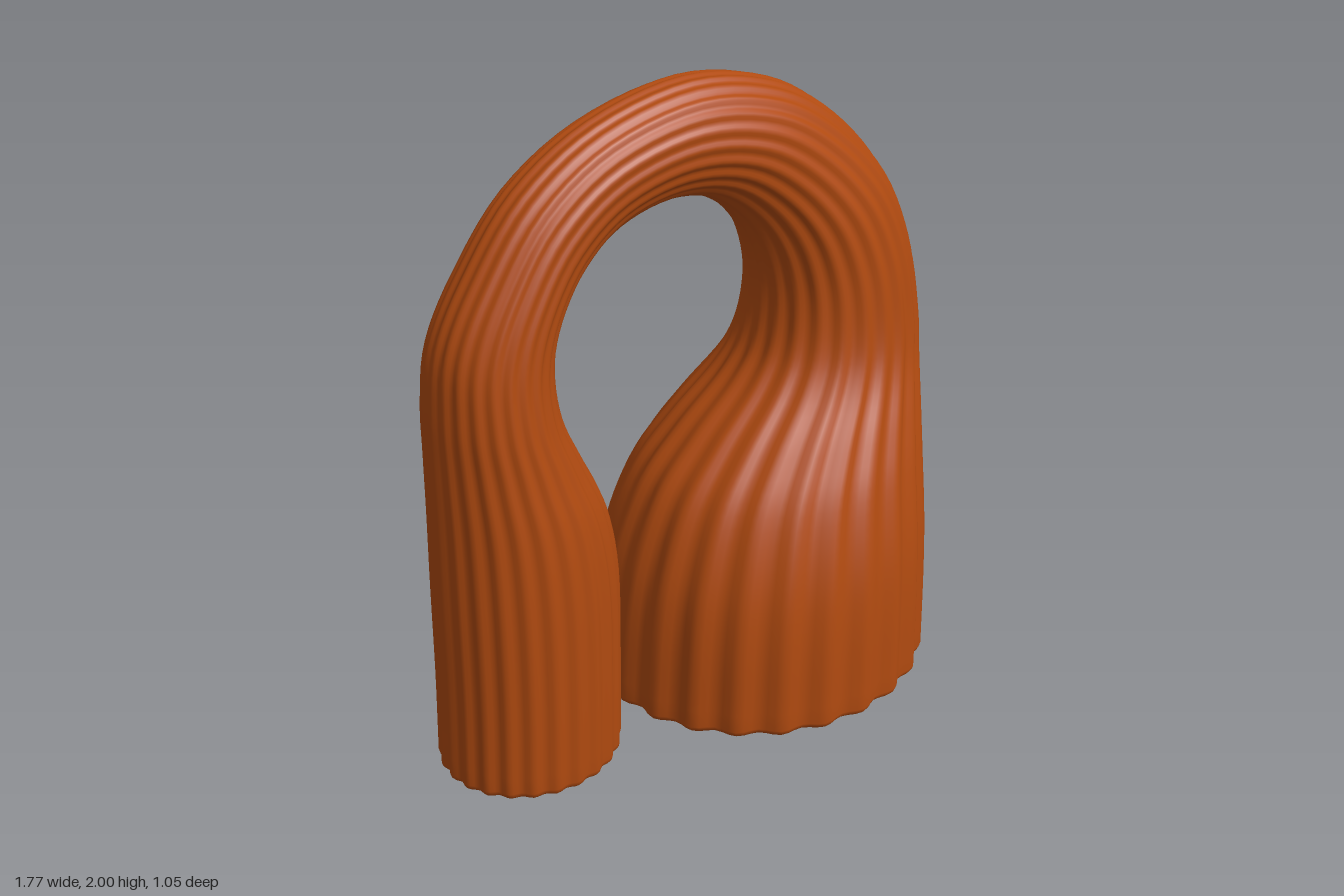
import * as THREE from 'three';

// Stations along the arch: outer x, outer y, inner x, inner y, half depth
const STATIONS = [
  [-0.885, 0.02, -0.315, 0.02, 0.265],
  [-0.877, 0.3, -0.31, 0.3, 0.265],
  [-0.875, 0.6, -0.31, 0.6, 0.26],
  [-0.872, 0.85, -0.345, 0.81, 0.245],
  [-0.872, 1.05, -0.42, 0.98, 0.22],
  [-0.87, 1.22, -0.485, 1.13, 0.2],
  [-0.845, 1.4, -0.5, 1.28, 0.18],
  [-0.75, 1.58, -0.47, 1.41, 0.165],
  [-0.58, 1.79, -0.39, 1.53, 0.15],
  [-0.33, 1.935, -0.27, 1.62, 0.142],
  [0, 2.0, -0.11, 1.66, 0.15],
  [0.3, 1.945, 0.05, 1.64, 0.168],
  [0.53, 1.81, 0.18, 1.55, 0.19],
  [0.72, 1.61, 0.26, 1.43, 0.222],
  [0.83, 1.38, 0.295, 1.28, 0.247],
  [0.875, 1.15, 0.275, 1.12, 0.272],
  [0.88, 1.0, 0.2, 1.0, 0.305],
  [0.878, 0.85, 0.035, 0.85, 0.37],
  [0.874, 0.7, -0.1, 0.7, 0.43],
  [0.872, 0.5, -0.19, 0.5, 0.485],
  [0.872, 0.3, -0.232, 0.3, 0.512],
  [0.875, 0.02, -0.255, 0.02, 0.525],
];
const FLUTES = 24, SIDES = FLUTES * 6, STEPS = 5 * (STATIONS.length - 1);

// One fluted elliptical ring between an outer and an inner point
function ring(outer, inner, depth, scale = 1, drop = 0) {
  const center = outer.clone().add(inner).multiplyScalar(0.5);
  const half = outer.clone().sub(center);
  const points = [];
  for (let j = 0; j < SIDES; j++) {
    const a = (j / SIDES) * Math.PI * 2;
    const s = scale * (1 - 0.02 * (1 - Math.cos(FLUTES * a)));
    points.push(new THREE.Vector3(
      center.x + half.x * Math.cos(a) * s,
      center.y + half.y * Math.cos(a) * s - drop,
      depth * Math.sin(a) * s));
  }
  return points;
}

// Smooth skin through a list of rings
function loft(rings) {
  const index = [];
  for (let i = 0; i < rings.length - 1; i++) {
    for (let j = 0; j < SIDES; j++) {
      const k = (j + 1) % SIDES;
      const a = i * SIDES + j, b = i * SIDES + k;
      index.push(a, b, a + SIDES, b, b + SIDES, a + SIDES);
    }
  }
  const geometry = new THREE.BufferGeometry().setFromPoints(rings.flat());
  geometry.setIndex(index);
  geometry.computeVertexNormals();
  return geometry;
}

// Flat underside of a leg
function cap(points, reversed) {
  const center = new THREE.Vector3();
  points.forEach((p) => center.addScaledVector(p, 1 / SIDES));
  const index = [];
  for (let j = 0; j < SIDES; j++) {
    const k = (j + 1) % SIDES;
    index.push(SIDES, reversed ? k : j, reversed ? j : k);
  }
  const geometry = new THREE.BufferGeometry().setFromPoints([...points, center]);
  geometry.setIndex(index);
  geometry.computeVertexNormals();
  return geometry;
}

export function createModel() {
  const group = new THREE.Group();
  group.name = 'flutedArch';
  const clay = new THREE.MeshStandardMaterial({ color: 0xb04a10 });
  clay.name = 'burntOrange';

  const spline = (f) => new THREE.CatmullRomCurve3(
    STATIONS.map((s) => new THREE.Vector3(...f(s))), false, 'catmullrom', 0.5);
  const outer = spline((s) => [s[0], s[1], 0]);
  const inner = spline((s) => [s[2], s[3], 0]);
  const depth = spline((s) => [s[4], 0, 0]);
  const ringAt = (t, scale, drop) =>
    ring(outer.getPoint(t), inner.getPoint(t), depth.getPoint(t).x, scale, drop);

  // Rings from the slim foot over the arch to the wide foot, rounded at the floor
  const rings = [ringAt(0, 0.965, 0.02), ringAt(0, 0.99, 0.012)];
  for (let i = 0; i <= STEPS; i++) rings.push(ringAt(i / STEPS, 1, 0));
  rings.push(ringAt(1, 0.993, 0.012), ringAt(1, 0.98, 0.02));

  const add = (name, geometry) => {
    const mesh = new THREE.Mesh(geometry, clay);
    mesh.name = name;
    group.add(mesh);
  };
  add('archBody', loft(rings));
  add('slimFootBase', cap(rings[0], true));
  add('wideFootBase', cap(rings[rings.length - 1], false));
  return group;
}
